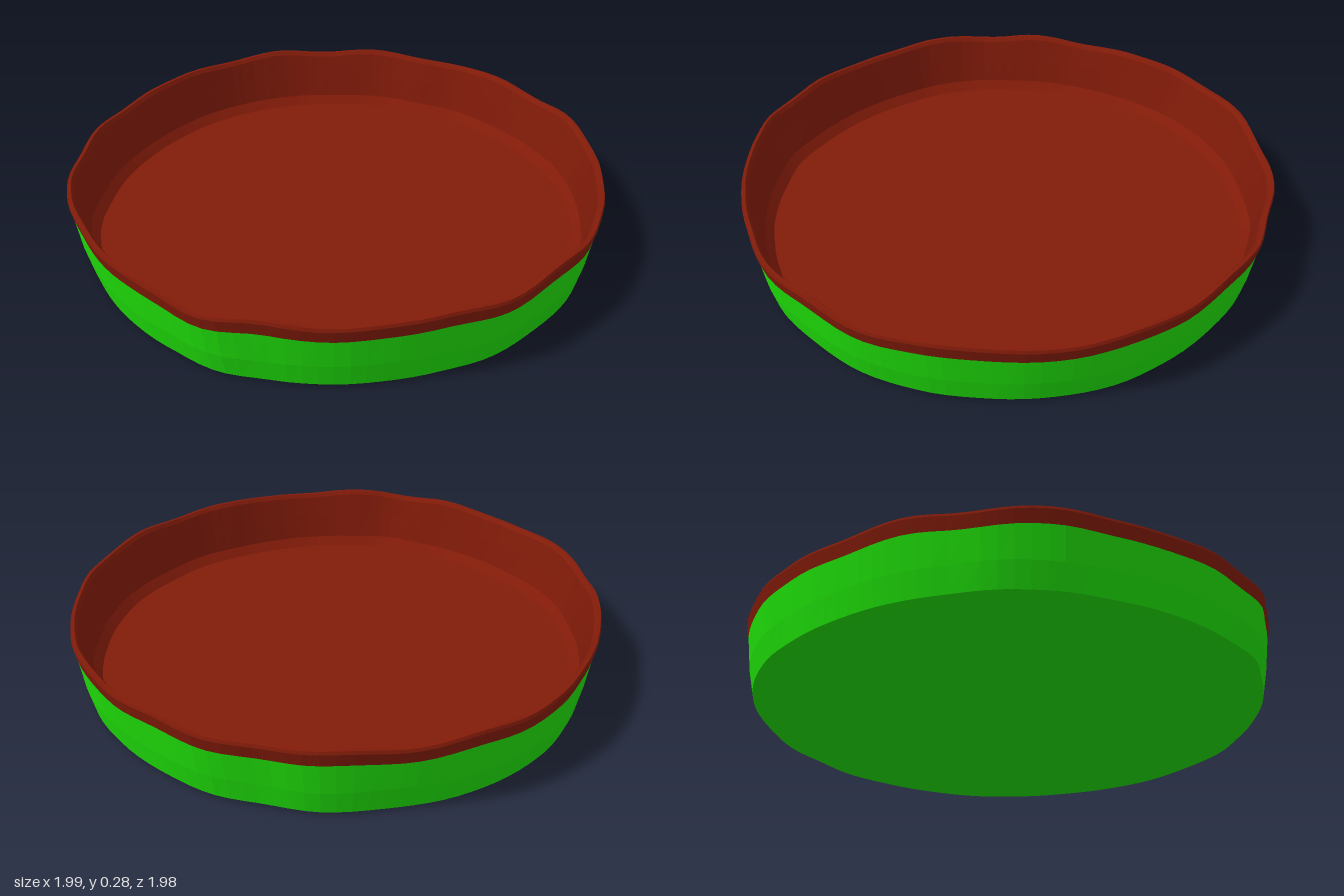
import * as THREE from 'three';

const SEGMENTS = 120;

// Uneven pinched outline: [angle in degrees from +x towards +z, radius]
const OUTLINE = [
  [0, 0.995], [15, 0.988], [26, 0.984], [38, 0.992], [51, 1.0], [64, 0.992], [76, 1.0], [88, 0.984],
  [98, 0.982], [109, 0.987], [120, 0.99], [131, 1.01], [143, 0.992], [156, 0.988], [170, 0.986],
  [180, 0.998], [190, 0.999], [203, 0.982], [214, 0.982], [224, 0.978], [237, 0.982], [250, 0.995],
  [262, 0.997], [272, 0.995], [288, 0.983], [300, 0.991], [311, 0.976], [322, 0.991], [334, 0.983],
  [347, 0.986], [360, 0.995],
];

function outlineOffset(a) {
  const degrees = THREE.MathUtils.radToDeg(a);
  const k = OUTLINE.findIndex(([d]) => d > degrees);
  const [d0, r0] = OUTLINE[k - 1];
  const [d1, r1] = OUTLINE[k];
  return THREE.MathUtils.lerp(r0, r1, THREE.MathUtils.smoothstep(degrees, d0, d1)) - 0.99;
}

const rimWave = (a) => 0.006 * Math.cos(12 * a) + 0.003 * Math.cos(17 * a + 1);

// Sweeps a profile of [radius, height, outline weight, wave weight] around y
function sweep(name, profile, material) {
  const positions = [];
  const indices = [];
  const stride = SEGMENTS + 1;
  profile.forEach(([r, y, outline, wave], i) => {
    for (let j = 0; j <= SEGMENTS; j++) {
      const a = ((j % SEGMENTS) / SEGMENTS) * Math.PI * 2;
      const radius = r + outline * outlineOffset(a);
      positions.push(radius * Math.cos(a), y + wave * rimWave(a), radius * Math.sin(a));
      if (i < profile.length - 1 && j < SEGMENTS) {
        const p = i * stride + j;
        const q = p + stride;
        if (r > 0) indices.push(p, q, p + 1);
        if (profile[i + 1][0] > 0) indices.push(p + 1, q, q + 1);
      }
    }
  });
  const geometry = new THREE.BufferGeometry();
  geometry.setAttribute('position', new THREE.Float32BufferAttribute(positions, 3));
  geometry.setIndex(indices);
  geometry.computeVertexNormals();
  const mesh = new THREE.Mesh(geometry, material);
  mesh.name = name;
  return mesh;
}

export function createModel() {
  const green = new THREE.MeshStandardMaterial({ color: 0x1fe009, flatShading: true });
  green.name = 'green';
  const redBrown = new THREE.MeshStandardMaterial({ color: 0x821b09, flatShading: true });
  redBrown.name = 'redBrown';

  const dish = new THREE.Group();
  dish.name = 'dish';

  // Underside and flared outer wall
  dish.add(sweep('outerShell', [
    [0, 0, 0, 0],
    [0.915, 0, 0.7, 0],
    [0.945, 0.01, 0.8, 0],
    [0.964, 0.1, 1, 0],
    [0.98, 0.215, 1, 0.8],
  ], green));

  // Wavy rolled rim
  dish.add(sweep('rim', [
    [0.98, 0.215, 1, 0.8],
    [0.99, 0.262, 1, 1],
    [0.986, 0.273, 1, 1],
    [0.974, 0.273, 1, 1],
    [0.964, 0.258, 1, 1],
  ], redBrown));

  // Inner wall, soft corner and floor
  dish.add(sweep('innerLining', [
    [0.964, 0.258, 1, 1],
    [0.948, 0.17, 1, 0.4],
    [0.93, 0.07, 0.8, 0],
    [0.9, 0.036, 0.7, 0],
    [0, 0.034, 0, 0],
  ], redBrown));

  return dish;
}
